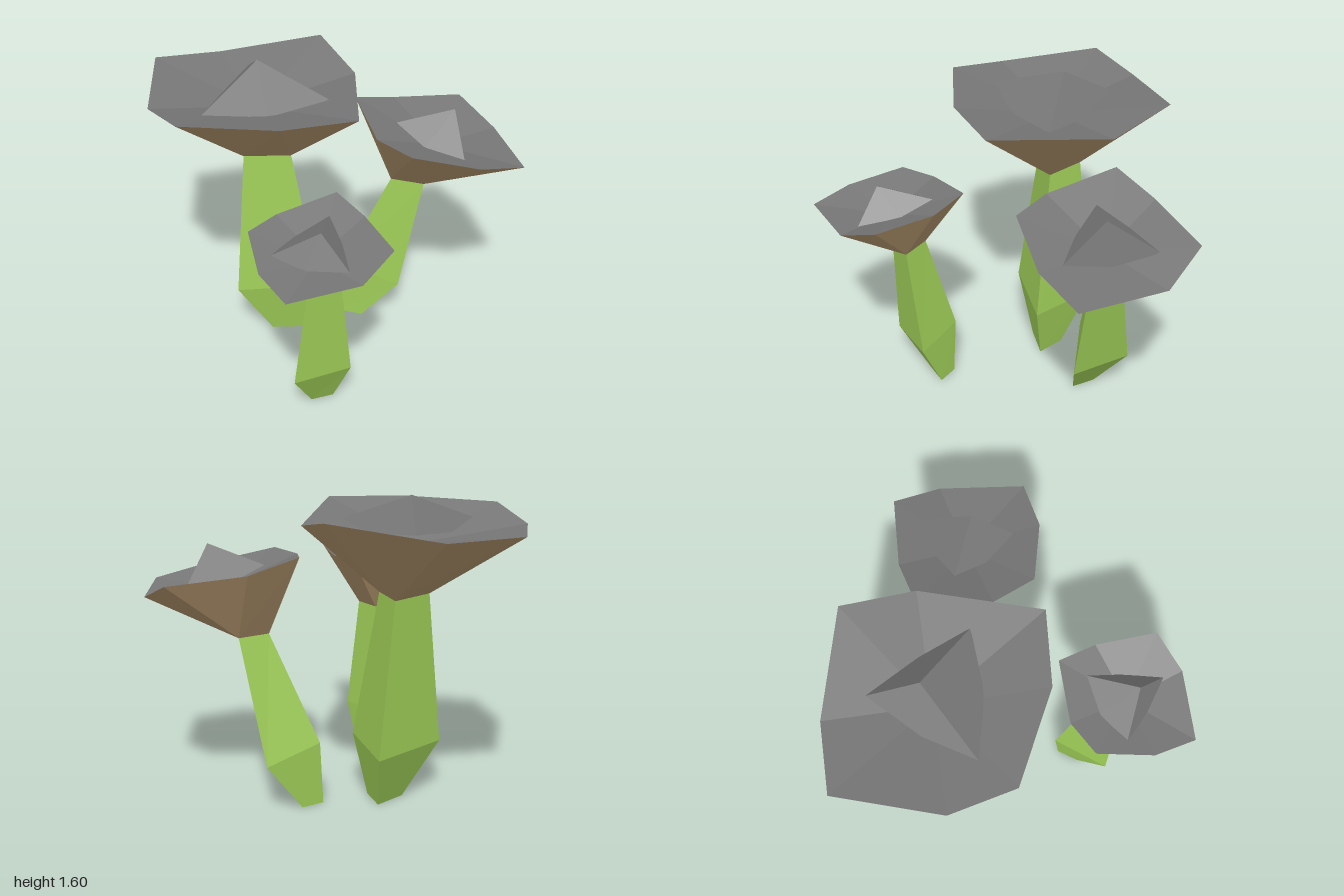
import * as THREE from 'three';

const green = new THREE.MeshStandardMaterial({ color: 0x9cca56 });
green.name = 'stem green';
const brown = new THREE.MeshStandardMaterial({ color: 0xac9069 });
brown.name = 'gill brown';
const grey = new THREE.MeshStandardMaterial({ color: 0x777777 });
grey.name = 'cap grey';

// Shared cap outline: x, lift and z of each rim corner around the cap centre
const capOutline = [
  [0.64, 0.02, 0.24], [0.43, -0.03, -0.35], [0.15, 0.04, -0.6], [-0.35, -0.04, -0.38],
  [-0.63, -0.02, -0.15], [-0.43, -0.05, 0.35], [-0.17, 0.01, 0.57], [0.32, 0.02, 0.46],
];

// foot: x, z; belly: three corners; neck: centre; cap: centre, size, turn and slopes;
// peak: apex and the x, z of its three corners
const mushrooms = [
  {
    name: 'largeMushroom',
    foot: [-0.19, -0.15],
    belly: [[-0.42, 0.3, 0.04], [0, 0.32, -0.13], [-0.3, 0.3, -0.38]],
    neck: [-0.307, 1.1, -0.177],
    cap: { centre: [-0.37, 1.49, -0.15], size: 1, turn: 0, slopeX: 0, slopeZ: 0 },
    apex: [-0.37, 1.6, -0.2],
    corners: [[-0.51, 0.19], [0.03, -0.18], [-0.51, -0.42]],
  },
  {
    name: 'backMushroom',
    foot: [0.108, -0.39],
    belly: [[0.38, 0.25, -0.38], [0.19, 0.26, -0.64], [0.05, 0.33, -0.37]],
    neck: [0.38, 0.89, -0.5],
    cap: { centre: [0.52, 1.205, -0.515], size: 0.71, turn: 13, slopeX: -0.26, slopeZ: 0.073 },
    apex: [0.6, 1.33, -0.525],
    corners: [[0.71, -0.34], [0.545, -0.775], [0.31, -0.45]],
  },
  {
    name: 'smallMushroom',
    foot: [0.18, 0.365],
    belly: [[0.125, 0.25, 0.61], [0.36, 0.27, 0.42], [0.1, 0.3, 0.3]],
    neck: [0.232, 0.857, 0.505],
    cap: { centre: [0.24, 1.112, 0.59], size: 0.58, turn: -71, slopeX: 0, slopeZ: -0.193 },
    apex: [0.27, 1.21, 0.635],
    corners: [[0.03, 0.705], [0.43, 0.695], [0.22, 0.37]],
  },
];

// Faceted mesh from a list of triangles, unshared corners give flat faces
function facetMesh(name, tris, material) {
  const geo = new THREE.BufferGeometry();
  geo.setAttribute('position', new THREE.Float32BufferAttribute(tris.flat(2), 3));
  geo.computeVertexNormals();
  const mesh = new THREE.Mesh(geo, material);
  mesh.name = name;
  return mesh;
}

// All rings run counter-clockwise seen from above
const next = (ring, i) => ring[(i + 1) % ring.length];
const mix = (a, b, t) => a.map((v, k) => v + (b[k] - v) * t);
const fan = (ring, tip) => ring.map((p, i) => [p, next(ring, i), tip]);

// Level copy of the belly ring, shrunk around a new centre
function shrunkRing(belly, [cx, y, cz], scale) {
  const mean = (k) => belly.reduce((sum, p) => sum + p[k], 0) / belly.length;
  return belly.map((p) => [cx + (p[0] - mean(0)) * scale, y, cz + (p[2] - mean(2)) * scale]);
}

// Three-sided stem lofted through foot, belly and neck
function stem(rings) {
  const tris = [];
  for (let r = 0; r < rings.length - 1; r++) {
    const lo = rings[r], hi = rings[r + 1];
    lo.forEach((p, i) => tris.push([p, next(lo, i), next(hi, i)], [p, next(hi, i), hi[i]]));
  }
  const [a, b, c] = rings[0];
  tris.push([a, c, b]);
  return facetMesh('stem', tris, green);
}

// Height of the sloping cap plane
function capHeight({ centre, slopeX, slopeZ }, x, z) {
  return centre[1] + (x - centre[0]) * slopeX + (z - centre[2]) * slopeZ;
}

// Shared outline sized, turned and laid on the cap plane
function capRim(cap) {
  const angle = THREE.MathUtils.degToRad(cap.turn);
  const cos = Math.cos(angle) * cap.size, sin = Math.sin(angle) * cap.size;
  return capOutline.map(([dx, lift, dz]) => {
    const x = cap.centre[0] + dx * cos + dz * sin;
    const z = cap.centre[2] - dx * sin + dz * cos;
    return [x, capHeight(cap, x, z) + lift * cap.size, z];
  });
}

// Underside: each rim corner joins the nearest neck corner
function underside(neck, rim) {
  const dist = (p, q) => Math.hypot(p[0] - q[0], p[2] - q[2]);
  const owner = rim.map((p) =>
    neck.reduce((best, q, k) => (dist(p, q) < dist(p, neck[best]) ? k : best), 0));
  const tris = [];
  rim.forEach((p, i) => {
    const a = neck[owner[i]], b = neck[next(owner, i)], q = next(rim, i);
    tris.push([a, q, p]);
    if (a !== b) tris.push([a, b, q]);
  });
  return facetMesh('capUnderside', tris, brown);
}

// Three-sided peak whose edge middles sink into the hollow cap
function peak(apex, corners) {
  const ring = corners.flatMap((p, i) => [p, mix(apex, mix(p, next(corners, i), 0.5), 1.2)]);
  return facetMesh('capPeak', fan(ring, apex), grey);
}

export function createModel() {
  const model = new THREE.Group();
  model.name = 'mushroomCluster';
  for (const { name, foot, belly, neck, cap, apex, corners } of mushrooms) {
    const footRing = shrunkRing(belly, [foot[0], 0, foot[1]], 0.4);
    const neckRing = shrunkRing(belly, neck, 0.55);
    const rim = capRim(cap);
    const depth = 0.13 * cap.size;
    const [cx, cy, cz] = cap.centre;
    const peakCorners = corners.map(([x, z]) => [x, capHeight(cap, x, z) - 0.3 * depth, z]);
    const group = new THREE.Group();
    group.name = name;
    group.add(
      stem([footRing, belly, neckRing]),
      underside(neckRing, rim),
      facetMesh('capTop', fan(rim, [cx, cy - depth, cz]), grey),
      peak(apex, peakCorners),
    );
    model.add(group);
  }
  return model;
}
